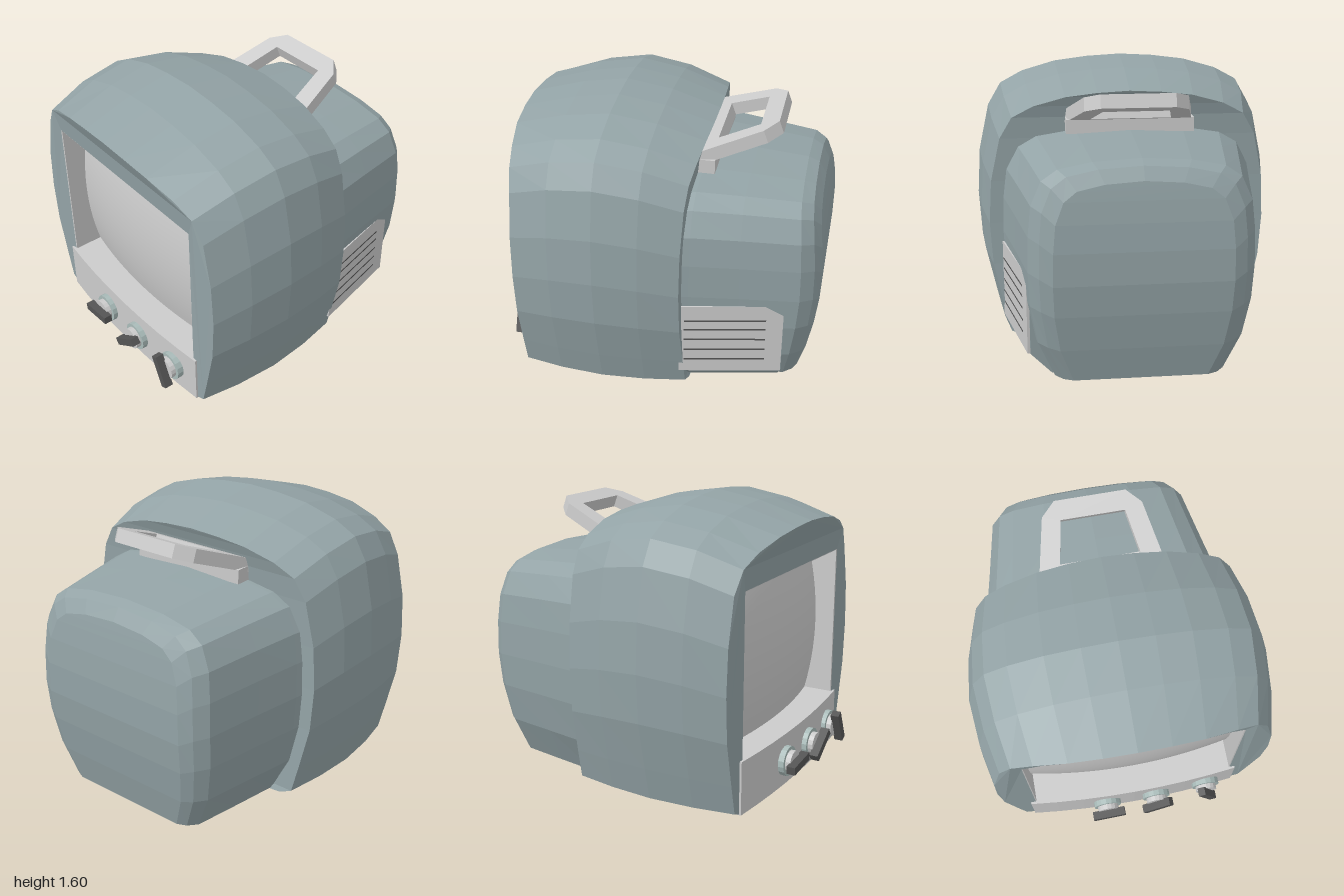
import * as THREE from 'three';

const mat = (color, flat = true, side = THREE.FrontSide) =>
  new THREE.MeshStandardMaterial({ color, flatShading: flat, side });
const casing = mat(0x93a3a6);
const casingThin = mat(0x93a3a6, true, THREE.DoubleSide);
const grey = mat(0xcccccc);
const dark = mat(0x555555);
const disc = mat(0xa9bbb9);

function add(parent, name, geometry, material, x = 0, y = 0, z = 0) {
  const mesh = new THREE.Mesh(geometry, material);
  mesh.name = name;
  mesh.position.set(x, y, z);
  parent.add(mesh);
  return mesh;
}

// Half profile, bottom centre to top centre, mirrored to a closed ring
const mirror = (half) =>
  [...half, ...half.slice(1, -1).reverse().map(([x, y]) => [-x, y])];

// Skin over rings running from front to back, closed at the back by level strips
function loft(rings) {
  const n = rings[0].length, index = [];
  for (let i = 0; i < rings.length - 1; i++) {
    for (let j = 0; j < n; j++) {
      const a = i * n + j, b = i * n + (j + 1) % n;
      index.push(a, a + n, b, b, a + n, b + n);
    }
  }
  const last = (rings.length - 1) * n;
  for (let j = 0; j < n / 2; j++) {
    const a = last + j, b = last + (n - j) % n, b2 = last + n - j - 1;
    if (j > 0) index.push(a, b, b2);
    if (j < n / 2 - 1) index.push(a, b2, a + 1);
  }
  const geo = new THREE.BufferGeometry();
  geo.setAttribute('position', new THREE.Float32BufferAttribute(rings.flat(2), 3));
  geo.setIndex(index);
  geo.computeVertexNormals();
  return geo;
}

const vectors = (pts) => pts.map(([x, y]) => new THREE.Vector2(x, y));
const toShape = (pts) => new THREE.Shape(vectors(pts));
const toHole = (pts) => new THREE.Path(vectors(pts));
const rect = (w, y0, y1) => [[-w, y0], [w, y0], [w, y1], [-w, y1]];
const extrude = (shape, depth) =>
  new THREE.ExtrudeGeometry(shape, { depth, bevelEnabled: false });

// Outward bow across the width, and the hood's overhang above the opening
const bow = (x, depth) => depth * (1 - (x / 0.8) ** 2);
const hood = (x, y) => bow(x, 0.085) * THREE.MathUtils.clamp((y - 1.2) / 0.23, 0, 1);

export function createModel() {
  const model = new THREE.Group();
  model.name = 'television';
  const tv = new THREE.Group();
  tv.name = 'set';
  tv.rotation.y = -1.256;
  tv.position.set(-0.03, 0, -0.09);
  model.add(tv);

  // Bulging front shell with an overhanging hood
  const shellRing = mirror([[0, 0], [0.32, 0], [0.62, 0], [0.69, 0.03], [0.73, 0.2], [0.785, 0.45],
    [0.8, 0.7], [0.785, 0.95], [0.73, 1.2], [0.66, 1.32], [0.54, 1.385], [0.36, 1.437],
    [0.18, 1.46], [0, 1.47]]);
  const shellStations = [[0.755, 1], [0.53, 1.06], [0.275, 1.088], [0.03, 1.06], [-0.19, 1]];
  add(tv, 'frontShell', loft(shellStations.map(([z, s], i) => shellRing.map(([x, y]) =>
    [x * s, y * s, z + (i === 0 ? hood(x, y) : bow(x, -0.019 * Math.max(0, i - 2) ** 2))]))), casing);

  // Front rim around the screen opening
  const rim = toShape(shellRing);
  rim.holes.push(toHole(rect(0.61, 0.3, 1.2)));
  const rimGeo = new THREE.ShapeGeometry(rim);
  const r = rimGeo.attributes.position;
  for (let i = 0; i < r.count; i++) r.setZ(i, hood(r.getX(i), r.getY(i)));
  rimGeo.computeVertexNormals();
  add(tv, 'frontRim', rimGeo, casingThin, 0, 0, 0.755);

  // Recess walls
  const recess = toShape(rect(0.66, 0.22, 1.24));
  recess.holes.push(toHole(rect(0.605, 0.305, 1.195)));
  add(tv, 'screenRecess', extrude(recess, 0.2), grey, 0, 0, 0.552);

  // Curved screen
  const screen = new THREE.PlaneGeometry(1.22, 0.91, 20, 14);
  const p = screen.attributes.position;
  for (let i = 0; i < p.count; i++) {
    const u = p.getX(i) / 0.61, v = p.getY(i) / 0.455;
    p.setZ(i, 0.12 * (1 - 0.5 * u * u - 0.5 * v * v));
  }
  screen.computeVertexNormals();
  add(tv, 'screen', screen, mat(0xcccccc, false), 0, 0.75, 0.575);

  // Bowed control panel below the screen
  const plan = [[-0.64, -0.6]];
  for (let i = 0; i <= 8; i++) {
    const x = -0.64 + 0.16 * i;
    plan.push([x, -0.745 - bow(x, 0.06)]);
  }
  plan.push([0.64, -0.6]);
  const panel = extrude(toShape(plan), 0.3).rotateX(-Math.PI / 2);
  add(tv, 'controlPanel', panel, grey, 0, 0.005, 0);

  // Three knobs with turned grips
  [[-0.175, 0.1], [0.135, 0.6], [0.455, 2.0]].forEach(([x, turn]) => {
    const knob = new THREE.Group();
    knob.name = 'knob';
    knob.position.set(x, 0.15, 0.745 + bow(x, 0.06));
    knob.rotation.z = turn;
    tv.add(knob);
    [[0.085, 0.01, disc], [0.065, 0.04, grey]].forEach(([radius, z, m]) =>
      add(knob, 'knobDisc', new THREE.CylinderGeometry(radius, radius, 0.04, 16).rotateX(Math.PI / 2), m, 0, 0, z));
    add(knob, 'knobGrip', new THREE.BoxGeometry(0.2, 0.045, 0.05), dark, 0, 0, 0.08);
  });

  // Tapering rear body, its back leaning in at top and bottom
  const rearRing = mirror([[0, 0], [0.54, 0], [0.645, 0.22], [0.69, 0.45], [0.7, 0.65],
    [0.695, 0.85], [0.675, 1.02], [0.61, 1.15], [0.51, 1.21], [0.3, 1.245], [0, 1.26]]);
  const lean = (y) => (y < 0.65 ? 0.11 * ((0.65 - y) / 0.65) ** 1.6 : 0.08 * ((y - 0.65) / 0.6) ** 2);
  const rearStations = [[0.15, 1.045, 1], [0.23, 1.02, 1], [0.5, 0.945, 0.985],
    [0.83, 0.86, 0.965], [0.9, 0.78, 0.945], [0.935, 0.68, 0.89]];
  add(tv, 'rearBody', loft(rearStations.map(([d, w, h]) => rearRing.map(([x, y]) =>
    [x * w, y * h, -d * (1 - lean(y * h) * (d / 0.935) ** 2)]))), casing);

  // Side vent: upright housing, panel and slats
  const vent = new THREE.Group();
  vent.name = 'vent';
  vent.position.set(0.663, 0, -0.48);
  vent.rotation.y = 0.21;
  tv.add(vent);
  add(vent, 'ventHousing', extrude(toShape([[-0.2, 0], [-0.13, 0], [-0.01, 0.13], [-0.01, 0.59], [-0.2, 0.59]]), 0.59),
    casing, 0, 0, -0.28);
  add(vent, 'ventPanel', new THREE.BoxGeometry(0.02, 0.455, 0.585), grey, -0.005, 0.36, 0.017);
  for (const y of [0.22, 0.29, 0.36, 0.43, 0.49])
    add(vent, 'ventSlat', new THREE.BoxGeometry(0.016, 0.01, 0.46), dark, -0.002, y, 0.05);

  // Slanted carrying handle on a foot behind the shell
  const grip = toShape([[-0.365, 0], [0.365, 0], [0.28, 0.4], [0.2, 0.48], [-0.2, 0.48], [-0.28, 0.4]]);
  grip.holes.push(toHole([[-0.225, 0.13], [0.225, 0.13], [0.18, 0.37], [-0.18, 0.37]]));
  const handle = add(tv, 'handle', extrude(grip, 0.075), grey, 0, 1.28, -0.2);
  handle.rotation.x = 0.36 - Math.PI / 2;
  add(tv, 'handleFoot', new THREE.BoxGeometry(0.72, 0.08, 0.1), grey, 0, 1.28, -0.25);

  return model;
}
